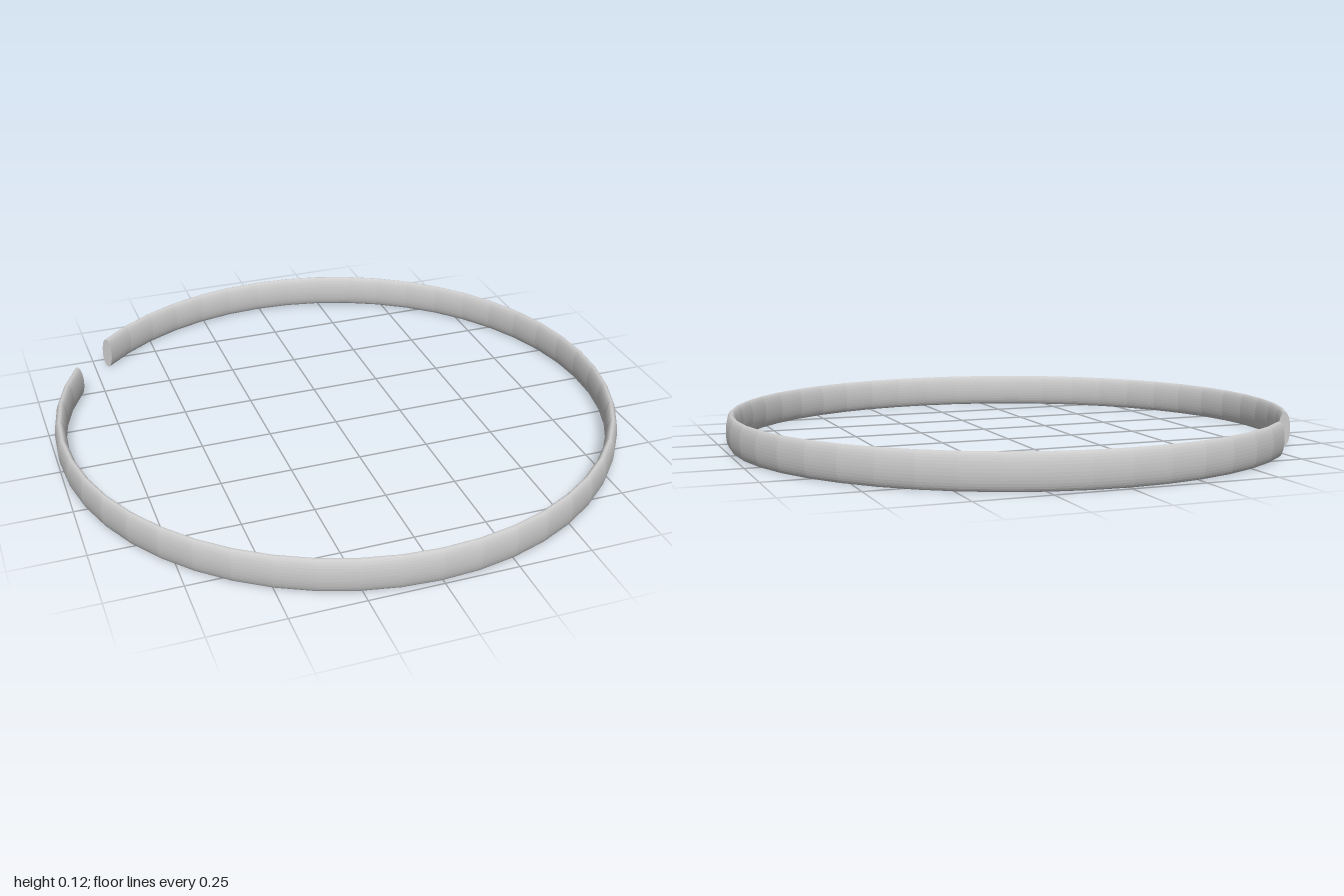
import * as THREE from 'three';

const RING = 0.98, HALF_WIDTH = 0.02, HALF_HEIGHT = 0.06, SIDES = 32, SEGMENTS = 46;
const START = THREE.MathUtils.degToRad(149.3);
const ARC = THREE.MathUtils.degToRad(346.3);

export function createModel() {
  const group = new THREE.Group();
  group.name = 'openRing';
  const material = new THREE.MeshStandardMaterial({ color: 0xcccccc, flatShading: true });

  // Shapes are made around z, then laid flat and lifted onto the ground
  const add = (name, geometry) => {
    geometry.rotateX(-Math.PI / 2).translate(0, HALF_HEIGHT, 0);
    const mesh = new THREE.Mesh(geometry, material);
    mesh.name = name;
    group.add(mesh);
  };

  // Open band with a tall elliptical cross-section
  const band = new THREE.TorusGeometry(RING, HALF_WIDTH, SIDES, SEGMENTS, ARC);
  band.scale(1, 1, HALF_HEIGHT / HALF_WIDTH).rotateZ(START);
  add('band', band);

  // Flat elliptical faces closing both ends of the gap
  for (const [name, turn, angle] of [['startCap', 1, START], ['endCap', -1, START + ARC]]) {
    const cap = new THREE.CircleGeometry(1, SIDES);
    cap.scale(HALF_WIDTH, HALF_HEIGHT, 1).rotateX(turn * Math.PI / 2);
    cap.translate(RING, 0, 0).rotateZ(angle);
    add(name, cap);
  }
  return group;
}
